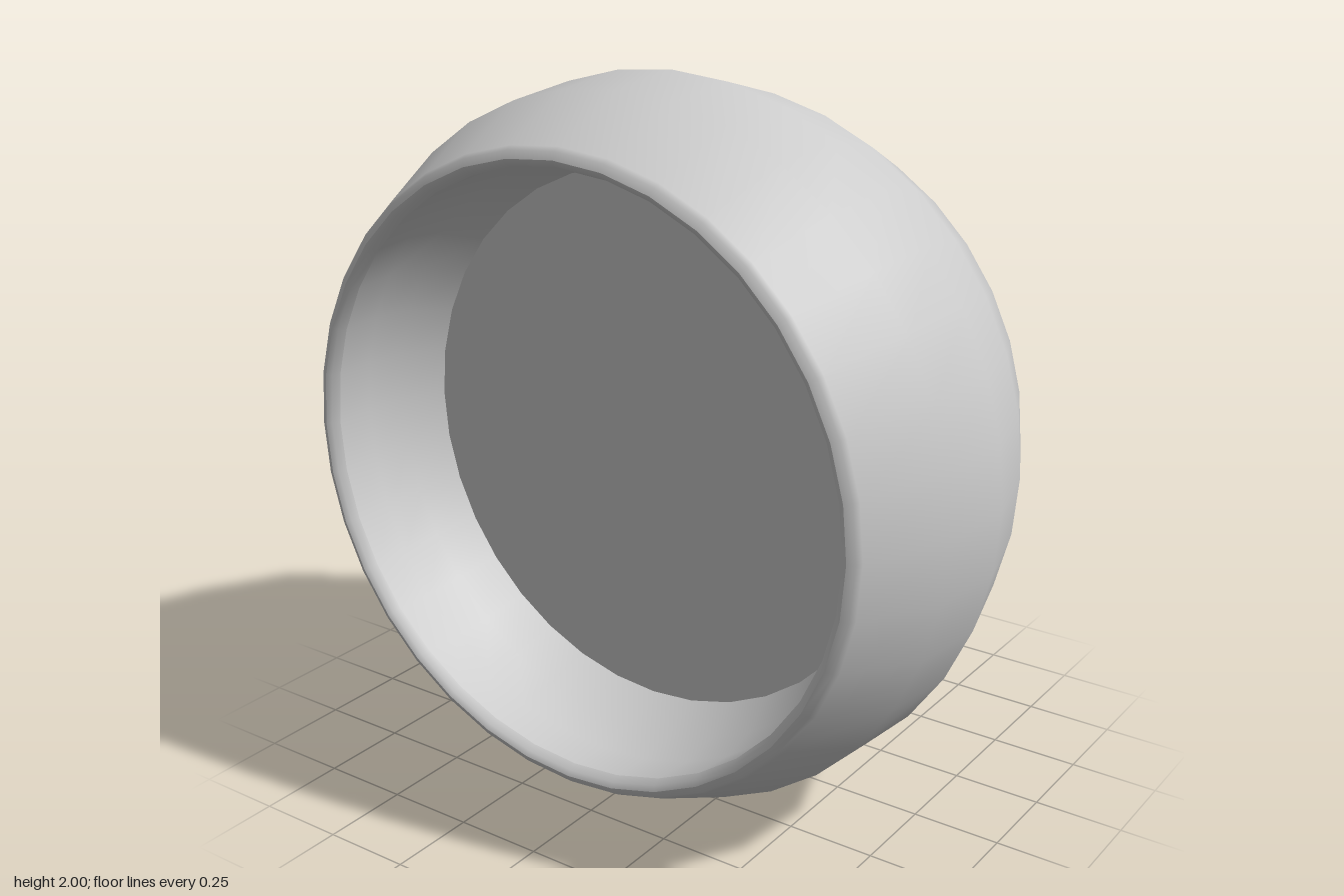
import * as THREE from 'three';

const SEGMENTS = 36;

export function createModel() {
  const group = new THREE.Group();
  const material = new THREE.MeshStandardMaterial({ color: 0xcccccc });

  // Revolves a [radius, z] profile about the front-to-back axis
  function revolve(name, profile) {
    const points = profile.map(([r, z]) => new THREE.Vector2(r, z));
    const geometry = new THREE.LatheGeometry(points, SEGMENTS);
    geometry.rotateX(Math.PI / 2);
    const mesh = new THREE.Mesh(geometry, material);
    mesh.name = name;
    mesh.position.y = 1;
    group.add(mesh);
  }

  // Rounded bowl, flattened at the back, with a softened front edge
  revolve('outerShell', [
    [0, -0.595], [0.49, -0.595], [0.82, -0.385], [0.935, -0.14],
    [1, 0.1], [0.98, 0.34], [0.875, 0.57], [0.865, 0.585], [0.845, 0.595],
  ]);

  // Narrow inward bevel around the opening
  revolve('rim', [[0.845, 0.595], [0.83, 0.587], [0.82, 0.565]]);

  // Gently hollowed recess and its flat floor
  revolve('recessWall', [[0.82, 0.565], [0.83, 0.44], [0.815, 0.32], [0.76, 0.2]]);
  revolve('recessFloor', [[0.76, 0.2], [0, 0.2]]);

  return group;
}
